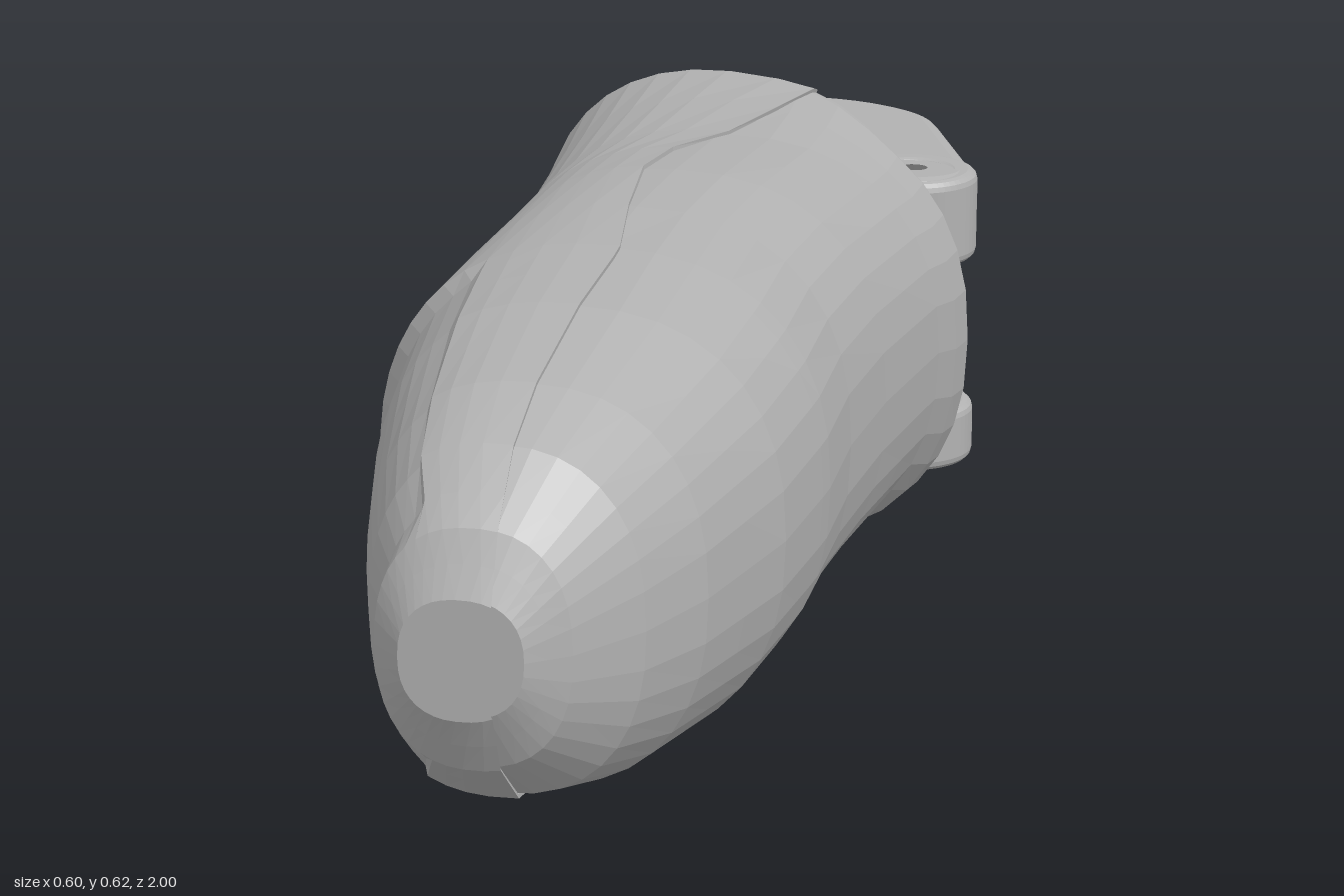
import * as THREE from 'three';

// z station: xmin, xmax, ymin, ymax
const SECTIONS = [
  [1, -0.03, 0.09, 0.33, 0.45], [0.97, -0.06, 0.13, 0.27, 0.51], [0.9, -0.1, 0.185, 0.215, 0.57],
  [0.8, -0.13, 0.225, 0.185, 0.6], [0.6, -0.178, 0.265, 0.15, 0.62], [0.4, -0.212, 0.275, 0.125, 0.622],
  [0.2, -0.215, 0.265, 0.1, 0.615], [0, -0.22, 0.272, 0.085, 0.605], [-0.3, -0.25, 0.288, 0.055, 0.572],
  [-0.45, -0.275, 0.297, 0.02, 0.567], [-0.6, -0.305, 0.303, 0, 0.567],
];
const SEAM_TOP = [[1, 0.06], [0.4, 0.05], [0.1, 0], [-0.1, -0.02], [-0.3, 0.03], [-0.6, 0.09]];
const SEAM_BOTTOM = [[1, 0.06], [0.85, 0.06], [0.6, 0], [0, -0.02], [-0.3, 0.03], [-0.6, 0.12]];
const BACK_EDGE = [[0.31, -0.47], [0.2, -0.49], [0.14, -0.54], [0.09, -0.6], [-0.31, -0.78]];
const POWER = 2 / 2.35;

// piecewise linear lookup, keys descending
function lookup(table, key) {
  for (let i = 1; i < table.length; i++) {
    const a = table[i - 1], b = table[i];
    if (key >= b[0] || i === table.length - 1) {
      const t = THREE.MathUtils.clamp((a[0] - key) / (a[0] - b[0]), 0, 1);
      return a.slice(1).map((v, n) => v + (b[n + 1] - v) * t);
    }
  }
}

// point on the finger shell; z below -0.3 is stretched to the slanted back edge
function shellPoint(z, angle, k, inward = 0) {
  const [x0, x1, y0, y1] = lookup(SECTIONS, z);
  const c = Math.cos(angle), s = Math.sin(angle);
  const px = Math.sign(c) * Math.abs(c) ** POWER, py = Math.sign(s) * Math.abs(s) ** POWER;
  let x = (x0 + x1) / 2 + px * k * (x1 - x0) / 2;
  const y = (y0 + y1) / 2 + py * k * (y1 - y0) / 2;
  // shallow fingertip pad on the right side
  if (z < 0.97 && z > 0.05 && c < 0) {
    const pad = THREE.MathUtils.smoothstep(z, 0.39, 0.43) * THREE.MathUtils.smoothstep(-c, 0.45, 0.6);
    x += 0.016 * pad;
  }
  if (z < -0.3) z = THREE.MathUtils.lerp(-0.3, lookup(BACK_EDGE, x)[0], (-0.3 - z) / 0.3);
  return [x, y, z + inward];
}

// surface through rows of points running front to back
function loft(rows) {
  const n = rows[0].length, index = [];
  for (let i = 0; i < rows.length - 1; i++)
    for (let j = 0; j < n - 1; j++) {
      const a = i * n + j, c = a + n;
      index.push(a, c, a + 1, a + 1, c, c + 1);
    }
  const g = new THREE.BufferGeometry();
  g.setAttribute('position', new THREE.Float32BufferAttribute(rows.flat(2), 3));
  g.setIndex(index);
  g.computeVertexNormals();
  return g;
}

// flat part drawn in (x, -z), extruded upwards with rounded edges
function plate(shape, height, bevel) {
  const g = new THREE.ExtrudeGeometry(shape, {
    depth: height - 2 * bevel, bevelSize: bevel, bevelThickness: bevel, bevelOffset: -bevel,
    bevelSegments: 3, curveSegments: 28,
  });
  g.translate(0, 0, bevel);
  g.rotateX(-Math.PI / 2);
  return g;
}

function circleHole(x, y, r) {
  return new THREE.Path().absarc(x, y, r, 0, Math.PI * 2, true);
}

export function createModel() {
  const model = new THREE.Group();
  const grey = new THREE.MeshStandardMaterial({ color: 0xb2b2b2, flatShading: true, side: THREE.DoubleSide });
  grey.name = 'grey';
  const add = (name, geometry, y = 0, tilt = 0) => {
    const mesh = new THREE.Mesh(geometry, grey);
    mesh.name = name;
    mesh.position.y = y;
    mesh.rotation.x = tilt;
    model.add(mesh);
  };

  const stations = [1, 0.985, 0.97, 0.94, 0.9, 0.8, 0.7, 0.6, 0.5, 0.43, 0.39, 0.2, 0, -0.15, -0.3, -0.45, -0.57];
  const N = 36;

  // hollow-backed finger body with a rounded rim
  const rings = [[1, 0], ...stations.map(z => [z, 0.985]),
    [-0.59, 0.975], [-0.6, 0.95], [-0.6, 0.91], [-0.585, 0.88], [-0.585, 0.86, 0.15], [-0.585, 0, 0.15]];
  add('fingerBody', loft(rings.map(([z, k, inward]) =>
    Array.from({ length: N + 1 }, (_, j) =>
      shellPoint(z, j / N * Math.PI * 2, k, inward ?? (z > 0 ? -0.006 * z : 0))))));

  // raised cover wrapping the right half, ending at the seams
  const seamAngle = (z, table) => {
    const [x0, x1] = lookup(SECTIONS, z);
    const u = THREE.MathUtils.clamp((lookup(table, z)[0] - (x0 + x1) / 2) / ((x1 - x0) / 2), -0.9, 0.9);
    return Math.acos(Math.sign(u) * Math.abs(u) ** (1 / POWER));
  };
  const coverRows = [[1, 0], ...stations.map(z => [z, 1]), [-0.585, 0.985]].map(([z, k]) => {
    const from = seamAngle(z, SEAM_TOP), to = Math.PI * 2 - seamAngle(z, SEAM_BOTTOM);
    const row = [shellPoint(z, from, k * 0.975)];
    for (let j = 0; j <= 24; j++) row.push(shellPoint(z, from + (to - from) * j / 24, k));
    row.push(shellPoint(z, to, k * 0.975));
    return row;
  });
  add('sideCover', loft(coverRows));

  // two hinge lugs, each with a large and a small pin hole
  const lug = new THREE.Shape();
  lug.moveTo(-0.19, 0.46);
  lug.lineTo(-0.19, 0.8);
  lug.absarc(0.01, 0.8, 0.2, Math.PI, 0.3, true);
  lug.absarc(0.21, 0.56, 0.08, 0.3, -Math.PI / 2, true);
  lug.lineTo(0.1, 0.46);
  lug.closePath();
  lug.holes.push(circleHole(0.01, 0.8, 0.113), circleHole(0.21, 0.56, 0.04));
  add('upperLug', plate(lug, 0.068, 0.022), 0.43, -0.05);
  add('lowerLug', plate(lug, 0.068, 0.022), 0.125, -0.05);

  // bosses around the small pin
  const boss = new THREE.Shape().absarc(0.21, 0.56, 0.08, 0, Math.PI * 2, false);
  boss.holes.push(circleHole(0.21, 0.56, 0.04));
  add('upperBoss', plate(boss, 0.11, 0.012), 0.36);
  add('lowerBoss', plate(boss, 0.075, 0.012), 0.1);

  // block set back between the lugs
  add('hingeBlock', new THREE.BoxGeometry(0.14, 0.13, 0.18).translate(0.08, 0.3, -0.54));

  return model;
}
